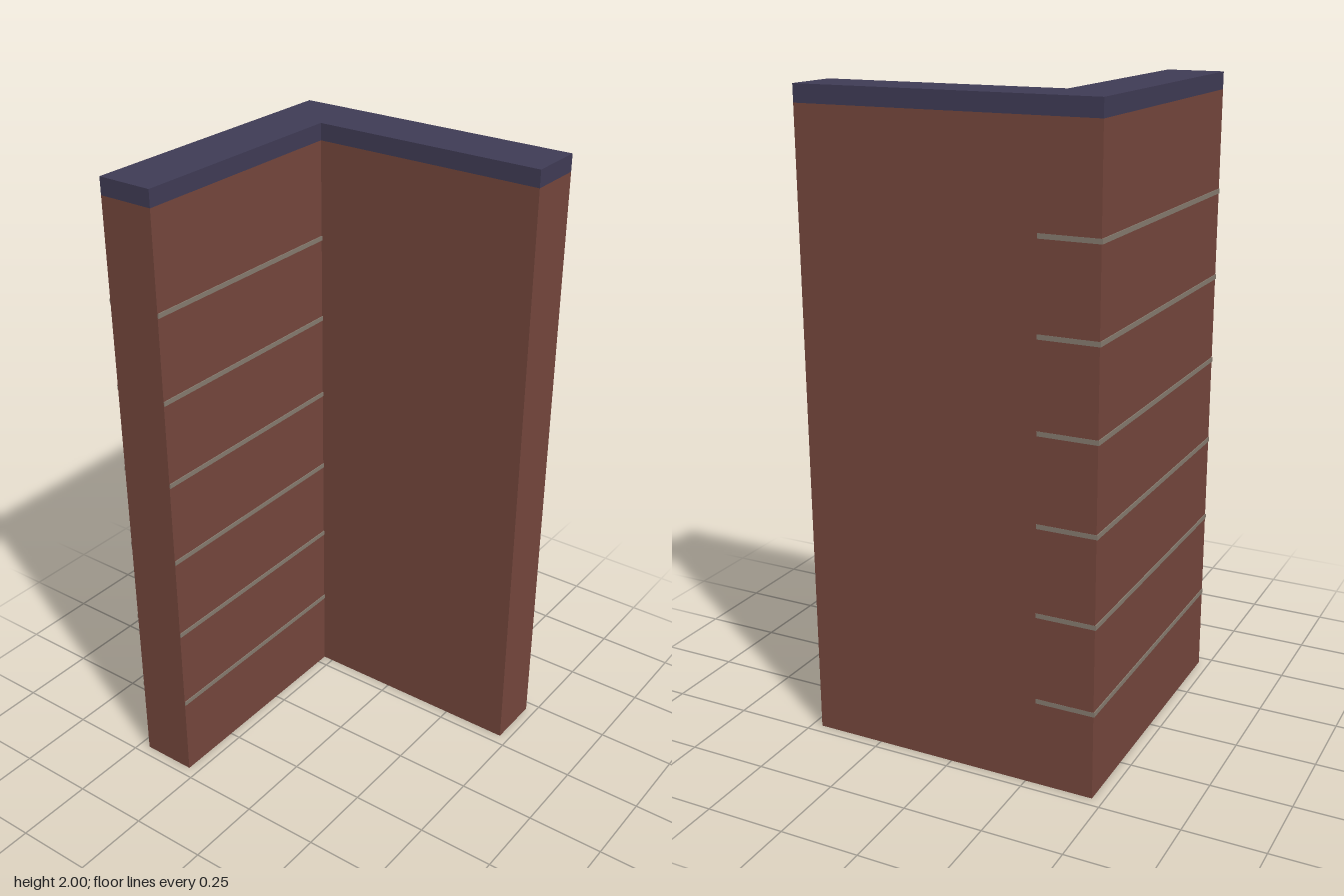
import * as THREE from 'three';

const HALF = 0.467, THICK = 0.18, BACK = -0.465, FRONT = 0.468;
const CAP = 0.053, HEIGHT = 2, FLOOR = 3 / 11;

// L-shaped plan raised from y0 to y1
function lPrism(name, y0, y1, material) {
  const plan = new THREE.Shape([
    [-HALF, -BACK], [-HALF, -BACK - THICK], [HALF - THICK, -BACK - THICK],
    [HALF - THICK, -FRONT], [HALF, -FRONT], [HALF, -BACK],
  ].map(([x, y]) => new THREE.Vector2(x, y)));
  const geometry = new THREE.ExtrudeGeometry(plan, { depth: y1 - y0, bevelEnabled: false });
  geometry.rotateX(-Math.PI / 2);
  const mesh = new THREE.Mesh(geometry, material);
  mesh.name = name;
  mesh.position.y = y0;
  return mesh;
}

export function createModel() {
  const brick = new THREE.MeshStandardMaterial({ color: 0x74463c });
  const slate = new THREE.MeshStandardMaterial({ color: 0x3f3b55 });
  const stone = new THREE.MeshStandardMaterial({ color: 0x857a6e });

  const model = new THREE.Group();
  model.name = 'cornerBuilding';
  model.add(lPrism('walls', 0, HEIGHT - CAP, brick));
  model.add(lPrism('roofCap', HEIGHT - CAP, HEIGHT, slate));

  // Thin floor bands running through the back wing
  const bands = new THREE.Group();
  bands.name = 'floorBands';
  const bandGeometry = new THREE.BoxGeometry(2 * HALF, 0.0146, THICK + 0.006);
  for (let i = 1; i <= 6; i++) {
    const band = new THREE.Mesh(bandGeometry, stone);
    band.name = 'floorBand' + i;
    band.position.set(0.0005, i * FLOOR, BACK + THICK / 2);
    bands.add(band);
  }
  model.add(bands);
  return model;
}
